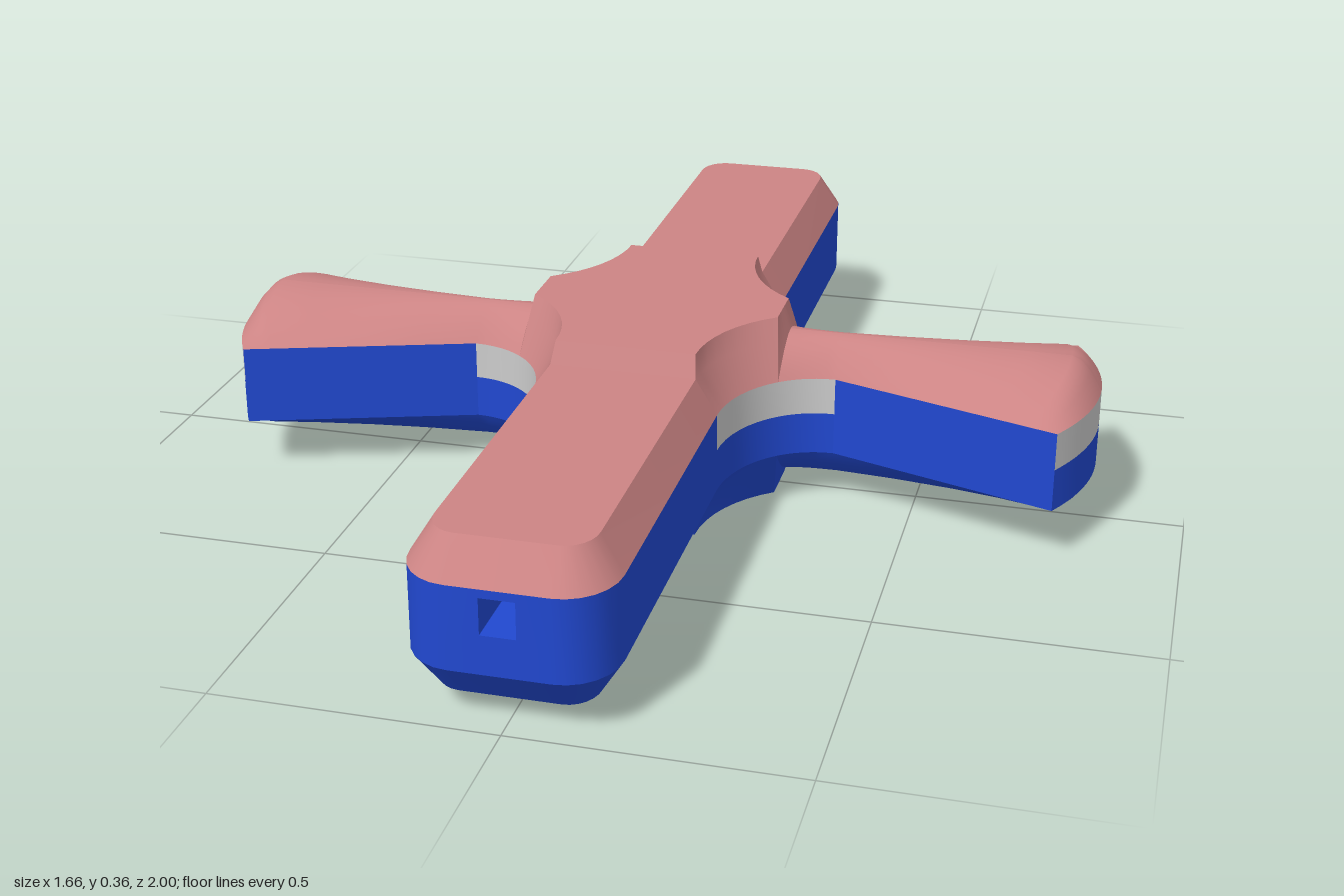
import * as THREE from 'three';
import { mergeGeometries, toCreasedNormals } from 'three/addons/utils/BufferGeometryUtils.js';

const material = (color) => new THREE.MeshStandardMaterial({ color, side: THREE.DoubleSide });
const MID = 0.185;                                // height of the symmetry plane
const WALL = 0.075, DECK = 0.14, HUB = 0.18;      // heights above that plane

// Skin over rows of [x, y, z] points, mirrored by the given signs
function loft(rows, sx, sy, sz) {
  const n = rows[0].length, index = [];
  const positions = rows.flat().flatMap(([x, y, z]) => [x * sx, y * sy, z * sz]);
  for (let i = 0; i < rows.length - 1; i++) {
    for (let j = 0; j < n - 1; j++) {
      const a = i * n + j, b = a + 1, c = a + n, d = c + 1;
      if (sx * sy * sz > 0) index.push(a, b, c, b, d, c);
      else index.push(a, c, b, b, c, d);
    }
  }
  const g = new THREE.BufferGeometry();
  g.setAttribute('position', new THREE.Float32BufferAttribute(positions, 3));
  g.setIndex(index);
  return toCreasedNormals(g, 0.55);
}

const range = (n, f) => Array.from({ length: n + 1 }, (_, i) => f(i / n));
const lift = (plan, y) => plan.map(([x, z]) => [x, y, z]);

// Rounded corner of the bar, from the end edge round to the side
const corner = (cx, cz, rx, rz) => range(6, (t) => {
  const a = t * Math.PI / 2;
  return [cx + rx * Math.sin(a), cz + rz * Math.cos(a)];
});

export function createModel() {
  const model = new THREE.Group();
  const pink = material(0xcc8484), blue = material(0x2148d0), grey = material(0xcccccc);

  function add(name, mat, geometries) {
    const mesh = new THREE.Mesh(mergeGeometries(geometries), mat);
    mesh.name = name;
    mesh.position.y = MID;
    model.add(mesh);
  }
  // Four mirrored copies of a set of lofts
  const quarters = (lofts, sy = 1) => [1, -1].flatMap((sx) => [1, -1].flatMap((sz) =>
    lofts.map((rows) => loft(rows, sx, sy, sz))));

  // Plan curves of one quarter
  const barOuter = [...corner(0.085, 0.9, 0.09, 0.1), [0.175, 0.28]];
  const barInner = [...corner(0.085, 0.89, 0.05, 0.06), [0.135, 0.28]];
  const filletAt = (a) => [0.35 - 0.175 * Math.cos(a), 0.28 - 0.21 * Math.sin(a)];
  const split = Math.acos(0.1 / 0.175);           // where the hub hands over to the wing
  const fillet = [...range(8, (t) => filletAt(t * split)),
    ...range(6, (t) => filletAt(split + t * (Math.PI / 2 - split))).slice(1)];
  const hubArc = (x0, z0, x1, z1) => range(8, (t) => {
    const a = t * split;
    return [x0 + (x1 - x0) * (1 - Math.cos(a)) / (1 - Math.cos(split)),
      z0 + (z1 - z0) * Math.sin(a) / Math.sin(split)];
  });
  const hubTop = hubArc(0.13, 0.26, 0.235, 0.05);
  const hubMid = hubArc(0.135, 0.28, 0.241, 0.072);

  // Wing surface: t runs from the ridge (0) to the side edge (1)
  const fall = [[0.72, 1], [0.735, 0.88], [0.75, 0.6], [0.77, 0]];
  const stations = [...fillet.slice(8).map(([x, z]) => [x, z, 1]),
    ...[0.45, 0.55, 0.65].map((x) => [x, 0.07 + (x - 0.35) / 3, 1]),
    ...fall.map(([x, f]) => [x, 0.07 + (x - 0.35) / 3, f])];
  const wingPoint = ([x, w, f], t) => [
    x + Math.max(0, (x - 0.35) / 0.42) * 0.06 * (1 - t * t),
    WALL + (DECK - WALL) * f * (1 - Math.pow(t, 1.8)),
    w * t];
  const across = range(10, (t) => 1 - t);
  const wing = across.map((t) => stations.map((s) => wingPoint(s, t)));

  // Upper shell in pink, its mirror image below in blue
  for (const [sy, side, mat] of [[1, 'upper', pink], [-1, 'lower', blue]]) {
    const start = [[0, 1], ...barOuter], startIn = [[0, 0.95], ...barInner];
    add(side + 'BarBevel', mat, quarters([[lift(start, WALL), lift(startIn, DECK)]], sy));
    add(side + 'BarDeck', mat, quarters([
      [lift(barInner, DECK), barInner.map(([, z]) => [0, DECK, z])]], sy));
    add(side + 'Wings', mat, quarters([wing], sy));

    const rim = [[0, 0.26], ...hubTop, [0.235, 0]];
    const step = [[0, 0.28], [0.135, 0.28]];
    add(side + 'Hub', mat, quarters([
      [lift(rim, HUB), lift(rim.map(([x, z]) => [x * 1e-3, z * 1e-3]), HUB)],
      [lift(step, DECK), lift([[0, 0.26], [0.13, 0.26]], HUB)],
      [lift(fillet.slice(0, 9), WALL), lift(hubMid, DECK), lift(hubTop, HUB)],
      [across.map((t) => wingPoint(stations[0], t)), across.map((t) => [0.235, HUB, 0.05 * t])],
    ], sy));
  }

  // Vertical walls, with square ports at the bar ends
  const band = (plan, y0, y1) => [lift(plan, y0), lift(plan, y1)];
  const PORT = 0.03, P0 = -0.005, P1 = 0.06, SEAM = 0.005;
  const portEdge = [[0, 1], [PORT, 1]];
  const wingEnd = across.map((t) => {
    const [x, , z] = wingPoint(stations[stations.length - 1], t);
    return [x, z];
  });
  add('hullWalls', blue, quarters([
    band([[PORT, 1], ...barOuter], -WALL, WALL),
    band(portEdge, -WALL, P0),
    band(portEdge, P1, WALL),
    band(fillet, -WALL, SEAM),
    band([[0.35, 0.07], [0.77, 0.21]], -WALL, WALL),
    band(wingEnd, -WALL, SEAM),
  ]));
  add('greyPanels', grey, quarters([band(fillet, SEAM, WALL), band(wingEnd, SEAM, WALL)]));

  // Square tunnel running the length of the bar
  const quarterRun = (x, y) => [[x, y, 0], [x, y, 1]];
  add('tunnel', blue, quarters([
    [quarterRun(PORT, P0), quarterRun(PORT, P1)],
    [quarterRun(0, P0), quarterRun(PORT, P0)],
  ]));
  add('tunnelCeiling', pink, quarters([[quarterRun(PORT, P1), quarterRun(0, P1)]]));

  return model;
}
